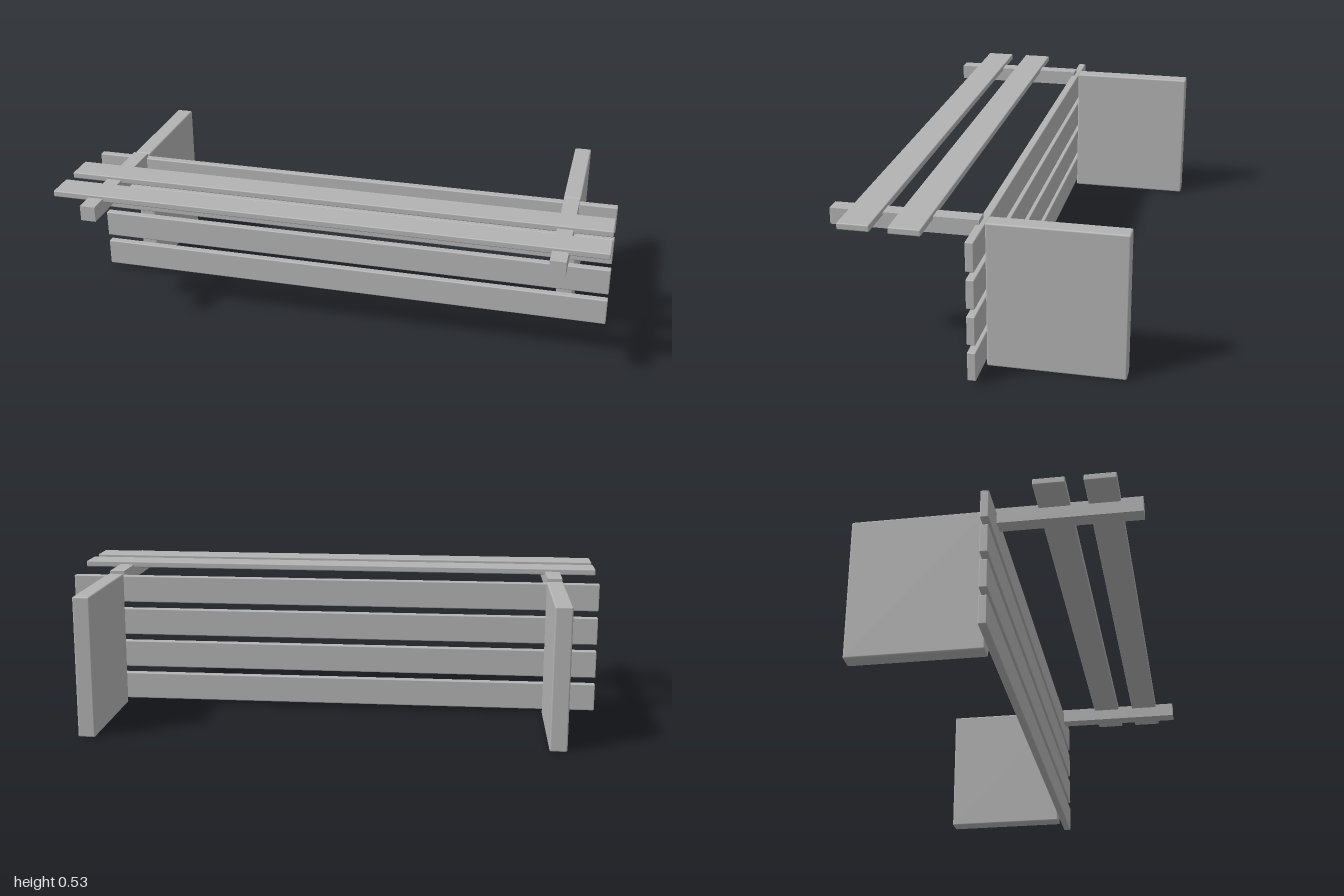
import * as THREE from 'three';
import { RoundedBoxGeometry } from 'three/addons/geometries/RoundedBoxGeometry.js';

export function createModel() {
  const bench = new THREE.Group();
  bench.name = 'bench';
  const grey = new THREE.MeshStandardMaterial({ color: 0xb3b3b3 });
  grey.name = 'plain grey';

  // Box given by its limits on y and z, centred on x; a radius softens its edges
  function block(name, x, width, [y0, y1], [z0, z1], radius = 0) {
    const size = [width, y1 - y0, z1 - z0];
    const geometry = radius
      ? new RoundedBoxGeometry(...size, 2, radius)
      : new THREE.BoxGeometry(...size);
    const mesh = new THREE.Mesh(geometry, grey);
    mesh.name = name;
    mesh.position.set(x, (y0 + y1) / 2, (z0 + z1) / 2);
    bench.add(mesh);
  }

  // Side panels and the seat arms reaching forward from them
  for (const [side, x] of [['left', 0.835], ['right', -0.835]]) {
    block(`${side}Panel`, x, 0.062, [0, 0.512], [-0.49, -0.025], 0.006);
    block(`${side}SeatArm`, x, 0.056, [0.463, 0.519], [-0.006, 0.492]);
  }

  // Four upright slats across the front of the panels
  for (let i = 0; i < 4; i++) {
    const y = 0.017 + i * 0.128;
    block(`frontSlat${i + 1}`, 0, 2, [y, y + 0.102], [-0.023, 0.006], 0.004);
  }

  // Two flat seat slats lying on the arms
  [0.145, 0.312].forEach((z, i) => {
    block(`seatSlat${i + 1}`, 0, 2, [0.507, 0.53], [z, z + 0.107], 0.004);
  });

  return bench;
}
